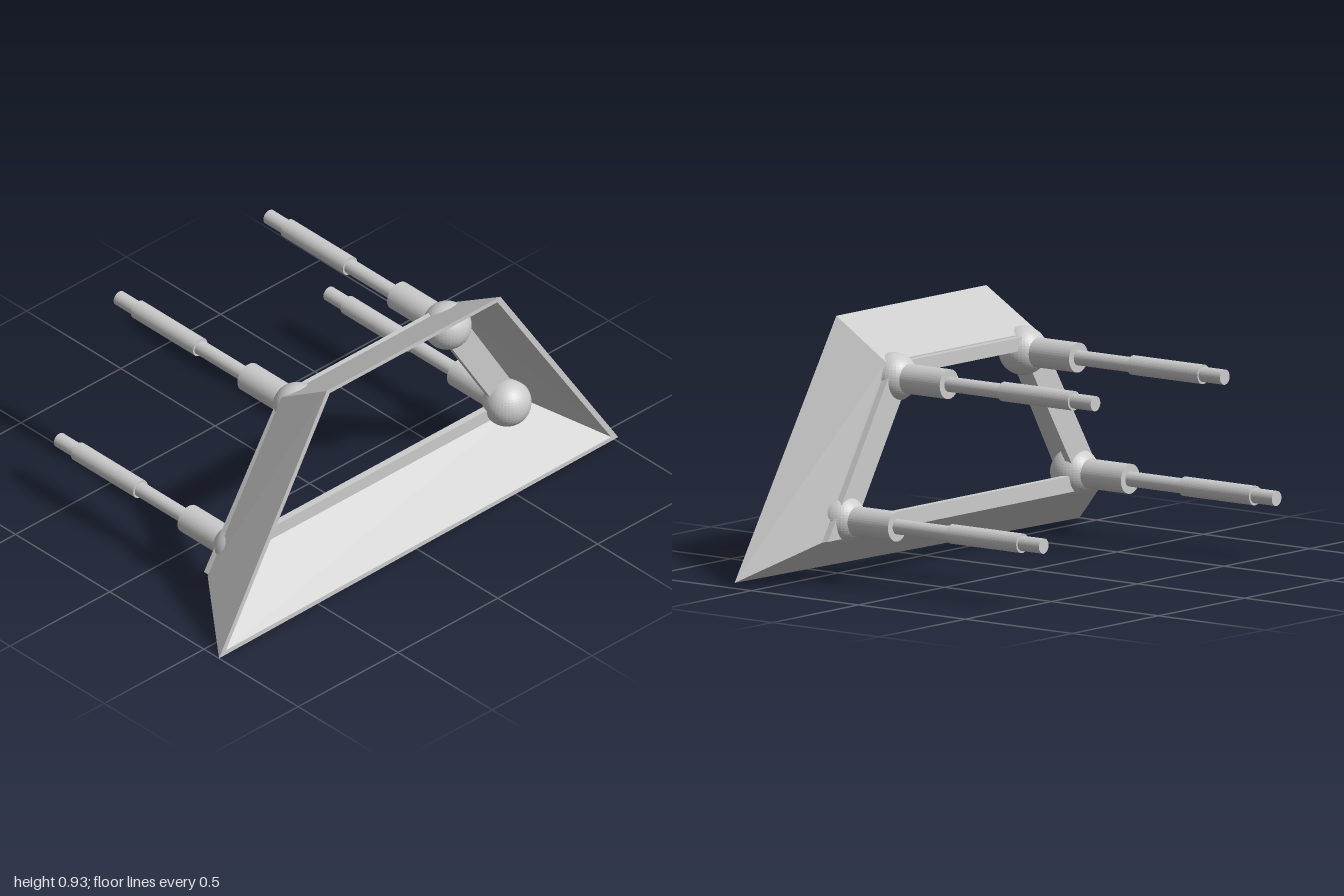
import * as THREE from 'three';

const material = new THREE.MeshStandardMaterial({ color: 0xcccccc, flatShading: true });

const add = (parent, name, geometry) => {
  const mesh = new THREE.Mesh(geometry, material);
  mesh.name = name;
  parent.add(mesh);
  return mesh;
};

// Flat-faced geometry from quads of [x, y, z] corners, counterclockwise from outside
function quadGeometry(quads) {
  const points = quads.flatMap(([a, b, c, d]) => [a, b, c, a, c, d]).flat();
  const geometry = new THREE.BufferGeometry();
  geometry.setAttribute('position', new THREE.Float32BufferAttribute(points, 3));
  geometry.computeVertexNormals();
  return geometry;
}

// Corner loops of the flared trapezoid: lower right, lower left, upper left, upper right
const FRONT_Z = 0.58, BACK_Z = 0.345;
const loop = (z, corners) => corners.map(([x, y]) => [x, y, z]);
const outerFront = loop(FRONT_Z, [[-1, 0], [1, 0.02], [0.41, 0.93], [-0.46, 0.93]]);
const innerFront = loop(FRONT_Z, [[-0.965, 0.02], [0.965, 0.037], [0.395, 0.913], [-0.445, 0.913]]);
const outerBack = loop(BACK_Z, [[-0.835, 0.165], [0.785, 0.165], [0.415, 0.785], [-0.465, 0.785]]);
const innerBack = loop(BACK_Z, [[-0.81, 0.18], [0.76, 0.18], [0.4, 0.77], [-0.45, 0.77]]);

// One sloping wall between neighbouring corners, mitred into the next
function wall(i) {
  const j = (i + 1) % 4;
  return quadGeometry([
    [outerFront[i], outerBack[i], outerBack[j], outerFront[j]],
    [innerFront[i], innerFront[j], innerBack[j], innerBack[i]],
    [outerFront[i], outerFront[j], innerFront[j], innerFront[i]],
    [outerBack[i], innerBack[i], innerBack[j], outerBack[j]],
  ]);
}

// Flat frame closing the back of the walls
function backFrame() {
  const toVectors = (pts) => pts.map(([x, y]) => new THREE.Vector2(x, y));
  const shape = new THREE.Shape(toVectors([[-0.83, 0.17], [0.78, 0.17], [0.4, 0.78], [-0.45, 0.78]]));
  shape.holes.push(new THREE.Path(toVectors([[-0.66, 0.23], [-0.35, 0.73], [0.3, 0.73], [0.61, 0.23]])));
  const geometry = new THREE.ExtrudeGeometry(shape, { depth: 0.027, bevelEnabled: false });
  return geometry.translate(0, 0, 0.32);
}

// Stepped rod sections: name, radius, front z, back z
const sections = [
  ['rodSocket', 0.055, 0.36, 0.10],
  ['rodShaft', 0.028, 0.11, -0.16],
  ['rodSleeve', 0.036, -0.155, -0.485],
  ['rodTip', 0.028, -0.48, -0.585],
];

// Ball joint with a stepped rod running straight back
function mount(x, y) {
  const group = new THREE.Group();
  group.name = 'cornerMount';
  group.position.set(x, y, 0);
  add(group, 'ballJoint', new THREE.SphereGeometry(0.09, 40, 28)).position.z = 0.36;
  for (const [name, radius, front, back] of sections) {
    const geometry = new THREE.CylinderGeometry(radius, radius, front - back, 40).rotateX(Math.PI / 2);
    add(group, name, geometry).position.z = (front + back) / 2;
  }
  return group;
}

export function createModel() {
  const model = new THREE.Group();
  model.name = 'trapezoidFrameOnRods';

  ['bottomWall', 'leftWall', 'topWall', 'rightWall'].forEach((name, i) => add(model, name, wall(i)));
  add(model, 'backFrame', backFrame());

  // Four mounts, symmetric about the frame's own centre line
  for (const [halfSpan, y] of [[0.375, 0.72], [0.675, 0.233]]) {
    for (const side of [-1, 1]) model.add(mount(-0.025 + side * halfSpan, y));
  }
  return model;
}
